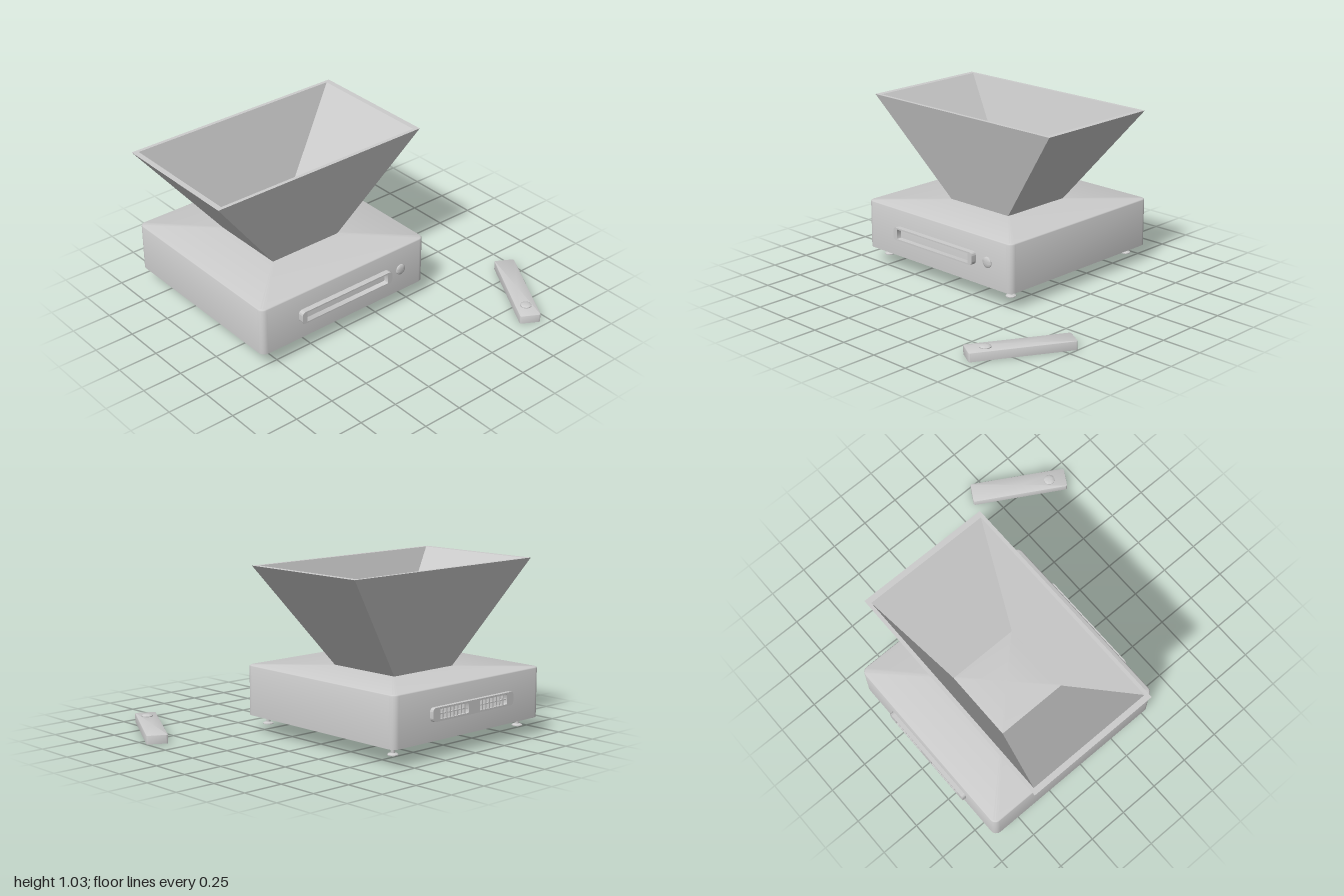
import * as THREE from 'three';
import { toCreasedNormals } from 'three/addons/utils/BufferGeometryUtils.js';

const material = new THREE.MeshStandardMaterial({ color: 0xcccccc });
const CX = -0.26, CZ = -0.328; // centre of the machine

function add(parent, name, geometry, x = 0, y = 0, z = 0) {
  const mesh = new THREE.Mesh(geometry, material);
  mesh.name = name;
  mesh.position.set(x, y, z);
  parent.add(mesh);
  return mesh;
}

// Skin through horizontal rounded rectangles, each [width, depth, height, corner radius]
function loft(rings, seg) {
  const pos = [], index = [], n = 4 * (seg + 1);
  for (const [w, d, y, r = 0] of rings) {
    for (let c = 0; c < 4; c++) {
      const sx = c === 0 || c === 3 ? 1 : -1, sz = c < 2 ? 1 : -1;
      for (let s = 0; s <= seg; s++) {
        const a = (c + (seg ? s / seg : 0)) * Math.PI / 2;
        pos.push(sx * (w / 2 - r) + r * Math.cos(a), y, sz * (d / 2 - r) + r * Math.sin(a));
      }
    }
  }
  for (let k = 0; k < rings.length - 1; k++) {
    for (let i = 0; i < n; i++) {
      const a = k * n + i, b = k * n + (i + 1) % n;
      index.push(a, a + n, b, b, a + n, b + n);
    }
  }
  const g = new THREE.BufferGeometry();
  g.setAttribute('position', new THREE.Float32BufferAttribute(pos, 3));
  g.setIndex(index);
  return toCreasedNormals(g, 0.6);
}

// Solid block with rounded upright corners and a softened top edge
function block(w, d, h, r, soft) {
  const rings = [[0, 0, 0], [w, d, 0, r]];
  for (let i = 0; i <= 4; i++) {
    const a = i / 4 * Math.PI / 2, inset = soft * (1 - Math.cos(a));
    rings.push([w - 2 * inset, d - 2 * inset, h - soft + soft * Math.sin(a), r - inset]);
  }
  rings.push([0, 0, h]);
  return loft(rings, 6);
}

function roundRect(target, x, y, w, h, r) {
  const l = x - w / 2, b = y - h / 2;
  target.moveTo(l + r, b);
  target.lineTo(l + w - r, b);
  target.absarc(l + w - r, b + r, r, -Math.PI / 2, 0);
  target.lineTo(l + w, b + h - r);
  target.absarc(l + w - r, b + h - r, r, 0, Math.PI / 2);
  target.lineTo(l + r, b + h);
  target.absarc(l + r, b + h - r, r, Math.PI / 2, Math.PI);
  target.lineTo(l, b + r);
  target.absarc(l + r, b + r, r, Math.PI, Math.PI * 1.5);
  return target;
}

// Upright plate with rectangular openings, each [x, width, height]
function plate(w, h, depth, openings) {
  const shape = roundRect(new THREE.Shape(), 0, 0, w, h, 0.022);
  for (const [x, ow, oh] of openings) {
    shape.holes.push(roundRect(new THREE.Path(), x, 0, ow, oh, 0.004));
  }
  const g = new THREE.ExtrudeGeometry(shape, { depth, bevelEnabled: false, curveSegments: 6 });
  return toCreasedNormals(g, 0.6);
}

function lathe(points) {
  const g = new THREE.LatheGeometry(points.map(p => new THREE.Vector2(...p)), 28);
  return toCreasedNormals(g, 0.6);
}

export function createModel() {
  const root = new THREE.Group();

  // Housing
  add(root, 'body', block(1.23, 1.23, 0.305, 0.04, 0.012), CX, 0.105, CZ);

  // Open hopper: outside up, over the rim, inside down
  add(root, 'hopper', loft([
    [0.49, 0.495, 0.41], [1.47, 0.85, 1.03], [1.4, 0.805, 1.03], [0.45, 0.455, 0.41],
  ], 0), CX - 0.005, 0, CZ);

  // Front slot surround and knob
  add(root, 'frontFrame', plate(0.68, 0.08, 0.037, [[0, 0.615, 0.062]]), -0.27, 0.26, 0.285);
  const dome = [[0, 0], [0.034, 0], [0.034, 0.006], [0.029, 0.01], [0.018, 0.013], [0, 0.014]];
  const knob = add(root, 'knob', lathe(dome), 0.165, 0.258, 0.286);
  knob.rotation.x = Math.PI / 2;

  // Rear vent surround with two grilles
  const vent = new THREE.Group();
  vent.name = 'rearVent';
  vent.position.set(-0.27, 0.26, -0.968);
  root.add(vent);
  add(vent, 'ventFrame', plate(0.68, 0.08, 0.027, [[-0.165, 0.235, 0.058], [0.165, 0.235, 0.058]]));
  for (const side of [-1, 1]) {
    add(vent, 'grilleRail', new THREE.BoxGeometry(0.235, 0.006, 0.016), side * 0.165, 0, 0.014);
    for (let i = -3; i <= 3; i++) {
      add(vent, 'grilleBar', new THREE.BoxGeometry(0.008, 0.058, 0.018), side * 0.165 + i * 0.03, 0, 0.014);
    }
  }

  // Four levelling feet
  const footProfile = [[0, 0], [0.031, 0], [0.031, 0.005], [0.024, 0.01], [0.012, 0.013], [0.012, 0.06]];
  for (const sx of [-1, 1]) {
    for (const sz of [-1, 1]) {
      add(root, 'foot', lathe(footProfile), CX + sx * 0.528, 0.05, CZ + sz * 0.523);
    }
  }

  // Separate hand control, turned on the floor
  const remote = new THREE.Group();
  remote.name = 'remote';
  remote.position.set(0.79, 0, 0.665);
  remote.rotation.y = -Math.PI / 6;
  root.add(remote);
  add(remote, 'remoteBody', block(0.127, 0.617, 0.053, 0.012, 0.003));
  add(remote, 'remoteButton', lathe(dome), 0, 0.052, 0.2);

  return root;
}
